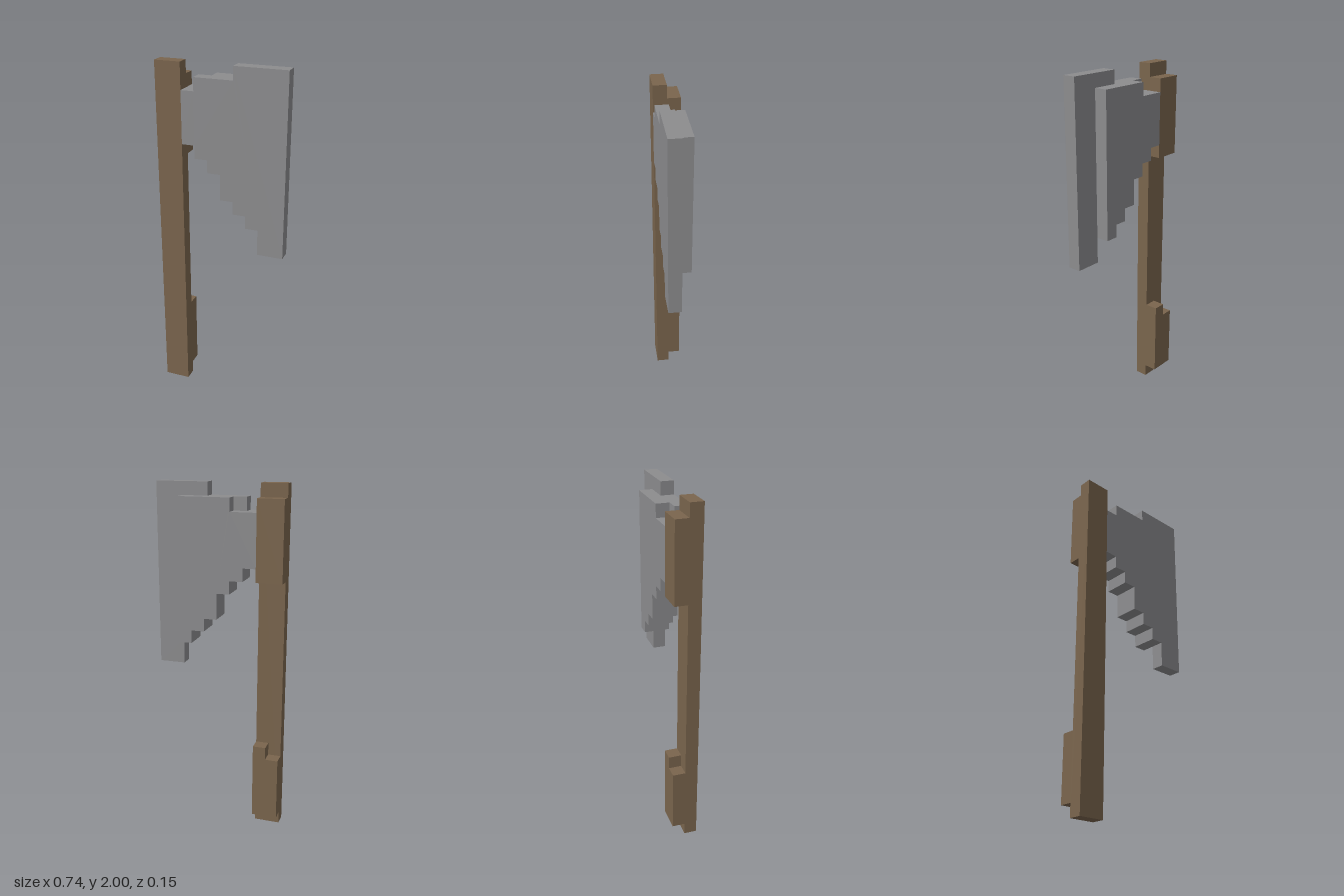
import * as THREE from 'three';

// One stair step of the blocky outline; the axe is 10 x 27 x 2 steps.
const U = 2 / 27;

const wood = new THREE.MeshStandardMaterial({ color: 0x7a654d });
wood.name = 'brown wood';
const metal = new THREE.MeshStandardMaterial({ color: 0x8c8c8e });
metal.name = 'grey metal';

// Extrudes a stepped outline, given in steps, by one step from layer z.
function slab(name, outline, layer, material) {
  const shape = new THREE.Shape(outline.map(([c, r]) => new THREE.Vector2((c - 5) * U, r * U)));
  const geometry = new THREE.ExtrudeGeometry(shape, { depth: U, bevelEnabled: false });
  geometry.translate(0, 0, layer * U);
  const mesh = new THREE.Mesh(geometry, material);
  mesh.name = name;
  return mesh;
}

// Outline from runs of columns: [first column, end column, bottom row, top row].
function stepped(runs) {
  const bottom = runs.flatMap(([a, b, low]) => [[a, low], [b, low]]);
  const top = runs.flatMap(([a, b, , high]) => [[a, high], [b, high]]).reverse();
  const points = [...bottom, ...top];
  // Drop points that lie on a straight run
  return points.filter((p, i) => {
    const q = points[(i + points.length - 1) % points.length];
    const n = points[(i + 1) % points.length];
    return (p[0] - q[0]) * (n[1] - p[1]) !== (p[1] - q[1]) * (n[0] - p[0]);
  });
}

export function createModel() {
  const model = new THREE.Group();
  model.name = 'axe';

  // Handle: full-length front pole with two grips on the back
  const handle = new THREE.Group();
  handle.name = 'handle';
  handle.add(
    slab('pole', stepped([[0, 2, 0, 27]]), 0, wood),
    slab('upperGrip', stepped([[0, 2, 20, 26]]), -1, wood),
    slab('lowerGrip', stepped([[0, 1, 1, 6], [1, 2, 1, 7]]), -1, wood)
  );

  // Blade: two layers sharing the stair-stepped lower edge
  const stairs = [[2, 3, 21], [3, 4, 20], [4, 5, 19], [5, 6, 17], [6, 7, 16], [7, 8, 15]];
  const frontTops = [25, 26, 26, 26, 27, 27];
  const backTops = [25, 25, 26, 26, 26, 26];
  const withTops = (tops) => stairs.map((run, i) => [...run, tops[i]]);
  const blade = new THREE.Group();
  blade.name = 'blade';
  blade.add(
    slab('bladeFront', stepped([...withTops(frontTops), [8, 10, 13, 27]]), 0, metal),
    slab('bladeBack', stepped(withTops(backTops)), -1, metal)
  );

  model.add(handle, blade);
  return model;
}
